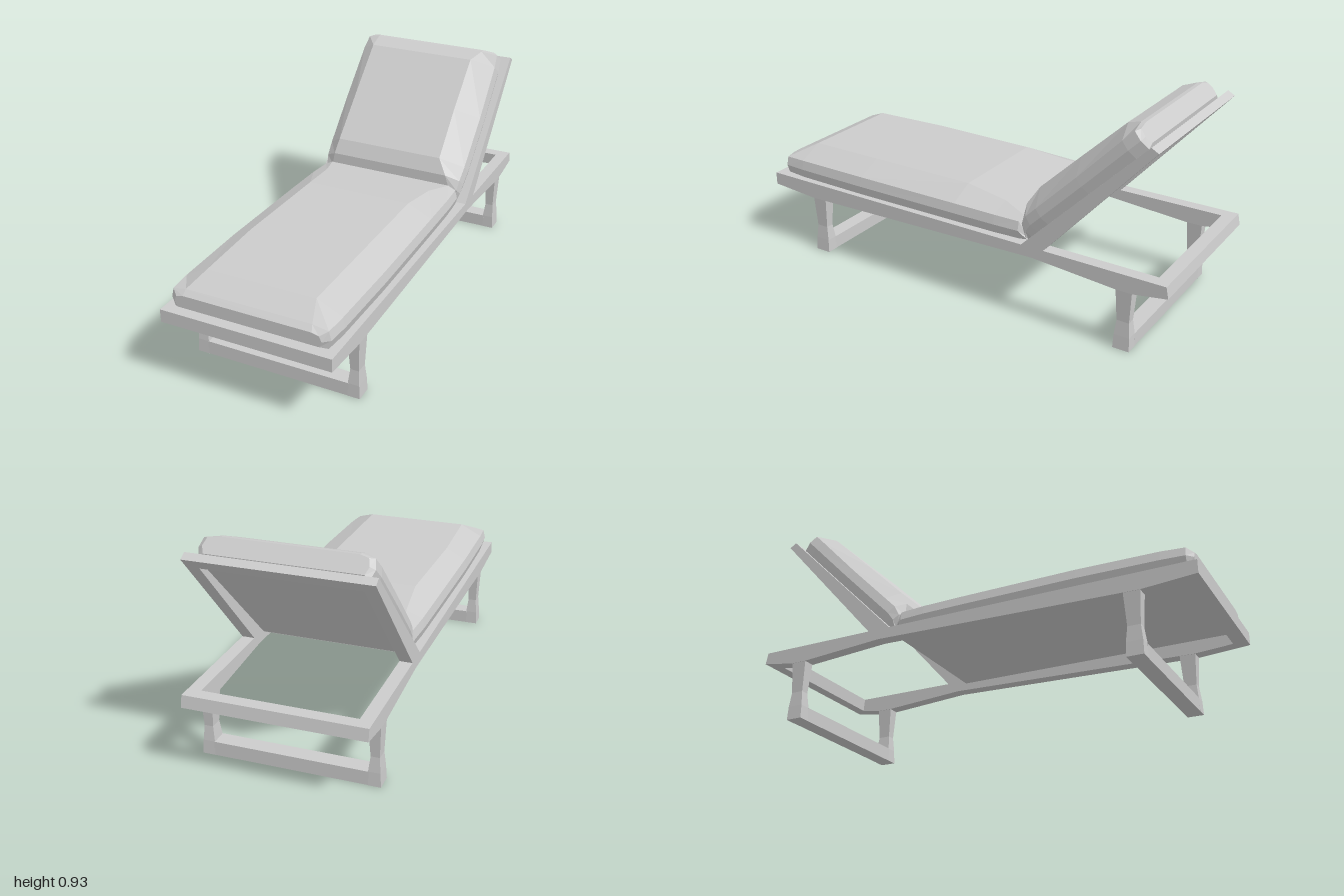
import * as THREE from 'three';

const material = new THREE.MeshStandardMaterial({ color: 0xcccccc, flatShading: true });

function add(parent, name, geometry, x = 0, y = 0, z = 0) {
  const mesh = new THREE.Mesh(geometry, material);
  mesh.name = name;
  mesh.position.set(x, y, z);
  parent.add(mesh);
  return mesh;
}

// Side profile of [z, y] points, extruded across x and centred on it
function profile(points, width) {
  const shape = new THREE.Shape(points.map(([z, y]) => new THREE.Vector2(z, y)));
  const geometry = new THREE.ExtrudeGeometry(shape, { depth: width, bevelEnabled: false });
  return geometry.rotateY(-Math.PI / 2).translate(width / 2, 0, 0);
}

// Cushion from stations along z: [z, halfWidth, bottom, edge, top, ridgeLeft, ridgeRight]
function cushion(stations) {
  const position = [], index = [], n = 8;
  for (const [z, w, bottom, edge, top, left, right] of stations) {
    const mid = (bottom + edge) / 2;
    const ring = [
      [-w + 0.012, bottom], [-w, mid], [-w + 0.01, edge], [-left, top],
      [right, top], [w - 0.01, edge], [w, mid], [w - 0.012, bottom],
    ];
    for (const [x, y] of ring) position.push(x, y, z);
  }
  const last = (stations.length - 1) * n;
  for (let i = 0; i < last; i += n) {
    for (let j = 0; j < n; j++) {
      const a = i + j, b = i + (j + 1) % n;
      index.push(a, a + n, b + n, a, b + n, b);
    }
  }
  for (let j = 1; j < n - 1; j++) {
    index.push(0, j, j + 1, last, last + j + 1, last + j);
  }
  const geometry = new THREE.BufferGeometry();
  geometry.setAttribute('position', new THREE.Float32BufferAttribute(position, 3));
  geometry.setIndex(index);
  const flat = geometry.toNonIndexed();
  flat.computeVertexNormals();
  return flat;
}

// Leg post with a narrow waist; side is +1 or -1 along x
function legPost(side) {
  const levels = [ // y, inner x, outer x, half depth
    [0, 0.322, 0.375, 0.036], [0.06, 0.322, 0.372, 0.034],
    [0.125, 0.33, 0.367, 0.027], [0.28, 0.321, 0.374, 0.036],
  ];
  const geometry = new THREE.BoxGeometry(1, 1, 1, 1, 3, 1);
  const p = geometry.attributes.position;
  for (let i = 0; i < p.count; i++) {
    const [y, inner, outer, half] = levels[Math.round((p.getY(i) + 0.5) * 3)];
    const isOuter = p.getX(i) * side > 0;
    p.setXYZ(i, side * (isOuter ? outer : inner), y, Math.sign(p.getZ(i)) * half);
  }
  geometry.computeVertexNormals();
  return geometry;
}

export function createModel() {
  const model = new THREE.Group();
  model.name = 'sunLounger';
  const deck = 0.337, railWidth = 0.055, railX = 0.3475;

  // Base frame: two shaped rails and two end bars
  const frame = new THREE.Group();
  frame.name = 'baseFrame';
  model.add(frame);
  const rail = [
    [1, deck], [1, 0.28], [0.77, 0.263], [-0.4, 0.291],
    [-0.78, 0.263], [-0.85, 0.263], [-1, 0.287], [-0.99, deck],
  ];
  for (const side of [-1, 1]) add(frame, 'sideRail', profile(rail, railWidth), side * railX);
  add(frame, 'frontBar', profile([[1, deck], [0.94, deck], [0.94, 0.276], [1, 0.28]], 0.65));
  add(frame, 'rearBar', profile([[-0.99, deck], [-1, 0.287], [-0.94, 0.279], [-0.935, deck]], 0.65));
  add(frame, 'seatPanel', new THREE.BoxGeometry(0.65, 0.012, 1.3), 0, 0.329, 0.295);

  // Leg frames: two waisted posts joined by a floor bar
  for (const [name, z] of [['frontLegs', 0.737], ['rearLegs', -0.815]]) {
    const legs = new THREE.Group();
    legs.name = name;
    legs.position.z = z;
    model.add(legs);
    for (const side of [-1, 1]) add(legs, 'legPost', legPost(side));
    add(legs, 'floorBar', new THREE.BoxGeometry(0.65, 0.06, 0.07), 0, 0.03, 0);
  }

  // Seat cushion
  add(model, 'seatCushion', cushion([
    [-0.35, 0.33, deck, 0.345, 0.35, 0.31, 0.31],
    [-0.315, 0.345, deck, 0.415, 0.432, 0.3, 0.3],
    [-0.2, 0.352, deck, 0.418, 0.447, 0.27, 0.25],
    [0, 0.355, deck, 0.42, 0.472, 0.25, 0.235],
    [0.5, 0.36, deck, 0.422, 0.472, 0.26, 0.235],
    [0.85, 0.355, deck, 0.42, 0.472, 0.245, 0.235],
    [0.95, 0.348, 0.34, 0.417, 0.428, 0.28, 0.27],
    [0.975, 0.32, 0.355, 0.402, 0.41, 0.28, 0.28],
  ]));

  // Reclined backrest, hinged at the deck; it runs up along its local -z
  const back = new THREE.Group();
  back.name = 'backrest';
  back.position.set(0, deck, -0.35);
  back.rotation.x = Math.PI / 4;
  model.add(back);
  const backRail = [[0, 0], [-0.073, -0.073], [-0.777, -0.035], [-0.768, 0]];
  for (const side of [-1, 1]) add(back, 'backRail', profile(backRail, railWidth), side * railX);
  add(back, 'topBar', profile([[-0.72, 0], [-0.72, -0.038], [-0.777, -0.035], [-0.768, 0]], 0.65));
  add(back, 'backPanel', new THREE.BoxGeometry(0.65, 0.012, 0.73), 0, -0.008, -0.365);
  add(back, 'backCushion', cushion([
    [-0.745, 0.325, 0.012, 0.078, 0.088, 0.28, 0.26],
    [-0.73, 0.345, 0, 0.085, 0.1, 0.28, 0.26],
    [-0.666, 0.352, 0, 0.085, 0.129, 0.28, 0.23],
    [-0.4, 0.356, 0, 0.08, 0.136, 0.28, 0.23],
    [-0.148, 0.354, 0, 0.08, 0.141, 0.28, 0.235],
    [-0.078, 0.35, 0, 0.08, 0.12, 0.29, 0.28],
    [-0.035, 0.345, 0, 0.065, 0.08, 0.3, 0.3],
    [0, 0.33, 0, 0.01, 0.015, 0.3, 0.3],
  ]));

  return model;
}
